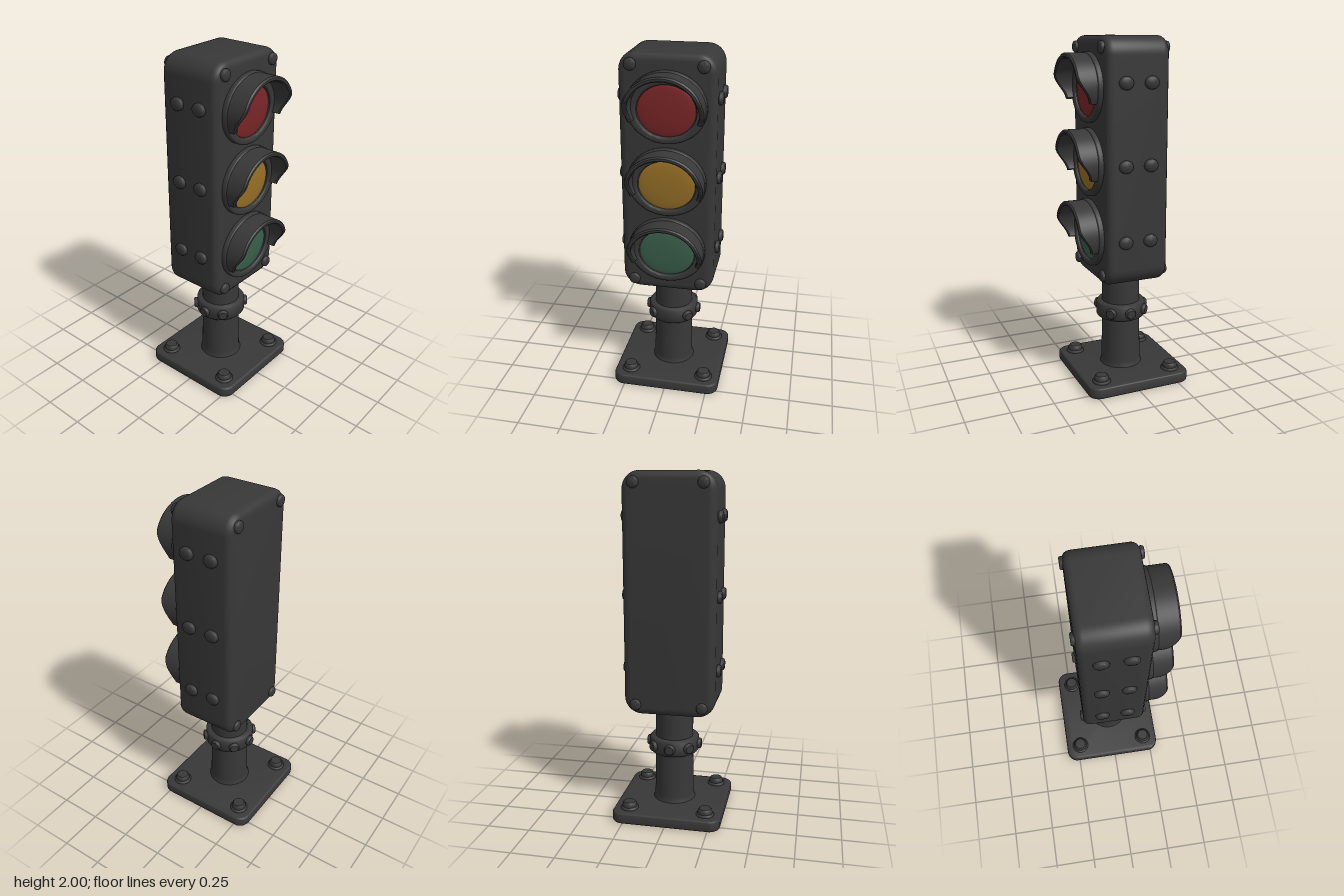
import * as THREE from 'three';
import { toCreasedNormals } from 'three/addons/utils/BufferGeometryUtils.js';

const material = (name, color) => {
  const m = new THREE.MeshStandardMaterial({ color });
  m.name = name;
  return m;
};

// Rounded slab centred on the origin in x and y, running from z = 0 to z = depth
function slab(w, h, depth, radius, bevel) {
  const x = w / 2 - bevel, y = h / 2 - bevel, r = radius - bevel;
  const s = new THREE.Shape();
  s.moveTo(-x + r, -y);
  s.lineTo(x - r, -y);
  s.absarc(x - r, -y + r, r, -Math.PI / 2, 0);
  s.lineTo(x, y - r);
  s.absarc(x - r, y - r, r, 0, Math.PI / 2);
  s.lineTo(-x + r, y);
  s.absarc(-x + r, y - r, r, Math.PI / 2, Math.PI);
  s.lineTo(-x, -y + r);
  s.absarc(-x + r, -y + r, r, Math.PI, Math.PI * 1.5);
  const g = new THREE.ExtrudeGeometry(s, {
    depth: depth - 2 * bevel, bevelSize: bevel, bevelThickness: bevel, bevelSegments: 4, curveSegments: 6,
  });
  g.translate(0, 0, bevel);
  return toCreasedNormals(g, 0.7);
}

// Round bolt head rising along +y from y = 0
function boltHead(r, h) {
  const p = [[r, 0], [r, h * 0.55], [r * 0.93, h * 0.82], [r * 0.78, h], [0, h]];
  const g = new THREE.LatheGeometry(p.map(([a, b]) => new THREE.Vector2(a, b)), 16);
  return toCreasedNormals(g, 0.7);
}

// Flat oval bezel with a hole set slightly below its centre
function bezelGeometry() {
  const s = new THREE.Shape();
  s.absellipse(0, 0, 0.207, 0.183, 0, Math.PI * 2);
  const hole = new THREE.Path();
  hole.absellipse(0, -0.018, 0.172, 0.15, 0, Math.PI * 2, true);
  s.holes.push(hole);
  const g = new THREE.ExtrudeGeometry(s, {
    depth: 0.03, bevelSize: 0.01, bevelThickness: 0.01, bevelSegments: 3, curveSegments: 24,
  });
  return toCreasedNormals(g, 0.6);
}

// Curved hood: a thin oval shell, open below, shallower toward its two ends
function visorGeometry() {
  const n = 40, start = -0.42, end = Math.PI + 0.42, t = 0.026;
  const rings = [];
  for (let i = 0; i <= n; i++) {
    const a = start + (end - start) * i / n, c = Math.cos(a), s = Math.sin(a);
    const front = 0.25 + 0.07 * THREE.MathUtils.smoothstep(s, -0.42, 0.4);
    const at = (inset, z) => [c * (0.212 - inset), s * (0.187 - inset), z];
    rings.push([at(0, 0.18), at(0, front - 0.008), at(0.008, front), at(t - 0.006, front),
      at(t, front - 0.006), at(t, 0.18)]);
  }
  const pos = [];
  const tri = (...p) => p.forEach((v) => pos.push(...v));
  const k = rings[0].length;
  for (let i = 0; i < n; i++) {
    for (let j = 0; j < k; j++) {
      const a = rings[i][j], b = rings[i][(j + 1) % k];
      const a2 = rings[i + 1][j], b2 = rings[i + 1][(j + 1) % k];
      tri(a, a2, b);
      tri(b, a2, b2);
    }
  }
  for (let j = 1; j < k - 1; j++) {
    tri(rings[0][0], rings[0][j], rings[0][j + 1]);
    tri(rings[n][0], rings[n][j + 1], rings[n][j]);
  }
  const g = new THREE.BufferGeometry();
  g.setAttribute('position', new THREE.Float32BufferAttribute(pos, 3));
  return toCreasedNormals(g, 0.7);
}

export function createModel() {
  const model = new THREE.Group();
  model.name = 'trafficLight';
  const metal = material('charcoal metal', 0x383838);
  const lenses = [
    ['red', 1.722, material('red lens', 0x7a2628)],
    ['amber', 1.308, material('amber lens', 0x977026)],
    ['green', 0.9, material('green lens', 0x3a5f4b)],
  ];

  const add = (name, geometry, x = 0, y = 0, z = 0, mat = metal, parent = model) => {
    const m = new THREE.Mesh(geometry, mat);
    m.name = name;
    m.position.set(x, y, z);
    parent.add(m);
    return m;
  };

  // Base plate and its four bolts
  add('basePlate', slab(0.636, 0.623, 0.066, 0.065, 0.014).rotateX(-Math.PI / 2), 0, 0, -0.0135);
  const washer = boltHead(0.053, 0.02), baseBolt = boltHead(0.043, 0.045);
  for (const x of [-0.225, 0.225]) {
    for (const z of [-0.232, 0.205]) {
      add('baseWasher', washer, x, 0.06, z);
      add('baseBolt', baseBolt, x, 0.062, z);
    }
  }

  // Post with a slight flare at its foot
  const postZ = -0.01;
  const post = [[0.13, 0.055], [0.122, 0.075], [0.117, 0.1], [0.112, 0.38], [0.111, 0.66]];
  add('post', new THREE.LatheGeometry(post.map(([r, y]) => new THREE.Vector2(r, y)), 40), 0, 0, postZ);

  // Collar with rivets around it
  const collar = [[0.1, 0.368], [0.138, 0.368], [0.146, 0.378], [0.146, 0.452], [0.138, 0.462], [0.1, 0.462]];
  add('collar', toCreasedNormals(
    new THREE.LatheGeometry(collar.map(([r, y]) => new THREE.Vector2(r, y)), 40), 0.9), 0, 0, postZ);
  const collarRivet = boltHead(0.032, 0.026);
  for (let i = 1; i < 8; i++) {
    const a = i * Math.PI / 4;
    const m = add('collarRivet', collarRivet, Math.sin(a) * 0.138, 0.415, postZ + Math.cos(a) * 0.138);
    m.rotation.set(Math.PI / 2, 0, -a, 'YXZ');
    m.rotation.set(Math.PI / 2, a, 0, 'YXZ');
  }

  // Housing
  add('housing', slab(0.526, 1.37, 0.37, 0.1, 0.04), 0, 1.315, -0.19);

  // Corner bolts, front and back
  const cornerBolt = boltHead(0.033, 0.022);
  for (const x of [-0.193, 0.193]) {
    for (const y of [0.692, 1.938]) {
      add('frontBolt', cornerBolt, x, y, 0.175).rotation.x = Math.PI / 2;
      add('backBolt', cornerBolt, x, y, -0.183).rotation.x = -Math.PI / 2;
    }
  }

  // Rivets on both sides
  const sideRivet = boltHead(0.041, 0.025);
  for (const side of [-1, 1]) {
    for (const y of [1.755, 1.312, 0.888]) {
      for (const z of [-0.076, 0.072]) {
        const m = add('sideRivet', sideRivet, side * 0.259, y, z);
        m.rotation.z = -side * Math.PI / 2;
        m.scale.x = 0.88;
      }
    }
  }

  // Three lamps, each with bezel, lens and hood
  const bezel = bezelGeometry(), visor = visorGeometry();
  const lens = new THREE.SphereGeometry(1, 40, 10, 0, Math.PI * 2, 0, Math.PI / 2).rotateX(Math.PI / 2);
  lens.scale(0.163, 0.143, 0.016);
  const rim = new THREE.TorusGeometry(1, 0.07, 8, 48).scale(0.168, 0.148, 0.12);
  for (const [name, y, mat] of lenses) {
    const lamp = new THREE.Group();
    lamp.name = name + 'Lamp';
    lamp.position.y = y;
    model.add(lamp);
    add('bezel', bezel, 0, 0, 0.17, metal, lamp);
    add('lensRim', rim, 0, -0.018, 0.19, metal, lamp);
    add('lens', lens, 0, -0.018, 0.188, mat, lamp);
    add('visor', visor, 0, 0, 0, metal, lamp);
  }
  return model;
}
